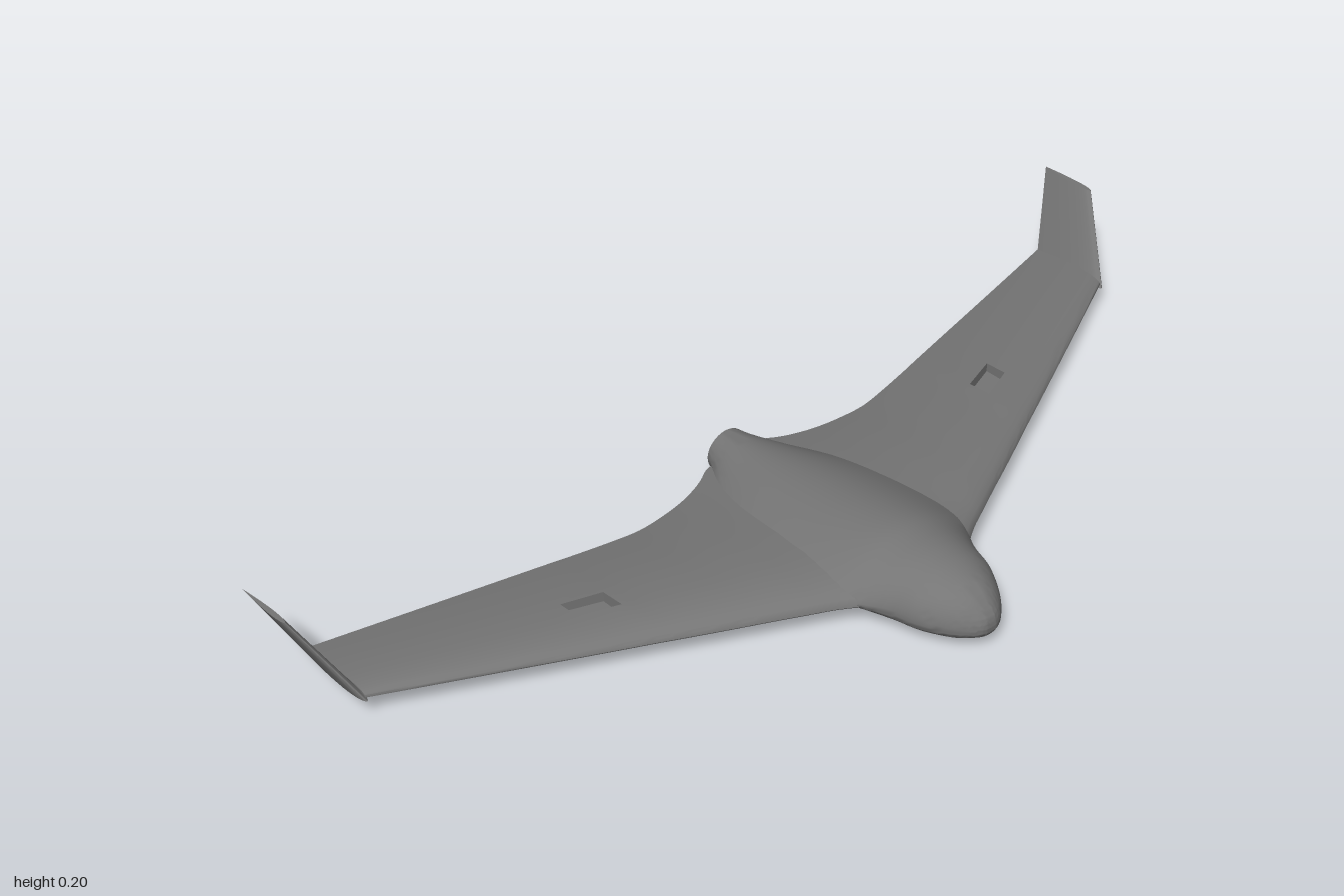
import * as THREE from 'three';
import { toCreasedNormals } from 'three/addons/utils/BufferGeometryUtils.js';

// Smoothly interpolate every column of a table of stations
function smoothRows(rows, steps) {
  const out = [];
  for (let i = 0; i < rows.length - 1; i++) {
    const a = rows[Math.max(i - 1, 0)], b = rows[i], c = rows[i + 1], d = rows[Math.min(i + 2, rows.length - 1)];
    for (let s = 0; s < steps; s++) {
      const t = s / steps;
      out.push(b.map((_, k) => b[k] + 0.5 * t * (c[k] - a[k]
        + t * (2 * a[k] - 5 * b[k] + 4 * c[k] - d[k] + t * (3 * (b[k] - c[k]) + d[k] - a[k])))));
    }
  }
  out.push(rows[rows.length - 1]);
  return out;
}

// Skin closed rings of [x, y, z] points; rings run counter-clockwise about the loft axis
function loft(rings, { start = true, end = true, skip = () => false, crease = 0.7 } = {}) {
  const n = rings[0].length, pos = rings.flat(2), index = [];
  for (let i = 0; i < rings.length - 1; i++) {
    for (let j = 0; j < n; j++) {
      if (skip(i, j)) continue;
      const a = i * n + j, b = i * n + (j + 1) % n, c = a + n, d = b + n;
      index.push(a, b, c, b, d, c);
    }
  }
  const cap = (ring, base, flip) => {
    const centre = pos.length / 3;
    for (let k = 0; k < 3; k++) pos.push(ring.reduce((sum, p) => sum + p[k], 0) / n);
    for (let j = 0; j < n; j++) {
      const a = base + j, b = base + (j + 1) % n;
      index.push(centre, flip ? b : a, flip ? a : b);
    }
  };
  if (start) cap(rings[0], 0, true);
  if (end) cap(rings[rings.length - 1], (rings.length - 1) * n, false);
  const geo = new THREE.BufferGeometry();
  geo.setAttribute('position', new THREE.Float32BufferAttribute(pos, 3));
  geo.setIndex(index);
  return toCreasedNormals(geo, crease);
}

// Aerofoil thickness along the chord, peak 1
const foil = f => 2 * (1.4845 * Math.sqrt(f) - 0.63 * f - 1.758 * f * f + 1.4215 * f ** 3 - 0.5075 * f ** 4);
const chord = [0, 0.006, 0.02, 0.05, 0.1, 0.17, 0.25, 0.33, 0.5, 0.6, 0.7, 0.8, 0.9, 1];
const hatch = { x0: 0.46, x1: 0.535, f0: 0.33, f1: 0.5 };

// Points on the wing for a station [x, leading z, trailing z, top y]
const wingTop = ([x, le, te, top], f) => [x, 0.057 + (top - 0.057) * foil(f), le + (te - le) * f];
const wingBottom = ([x, le, te], f) => [x, 0.057 - 0.006 * Math.sqrt(Math.max(foil(f), 0)), le + (te - le) * f];

export function createModel() {
  const model = new THREE.Group();
  model.name = 'flyingWing';
  const grey = new THREE.MeshStandardMaterial({ color: 0x757575 });
  grey.name = 'airframe grey';
  const add = (name, geo) => {
    const mesh = new THREE.Mesh(geo, grey);
    mesh.name = name;
    model.add(mesh);
  };

  // Fuselage stations: z, half width, top, bottom, middle y, flare into the wing
  const bodyRows = [
    [-0.29, 0.045, 0.1, 0.015, 0.058, 0],
    [-0.26, 0.06, 0.102, 0.015, 0.058, 0.4],
    [-0.2, 0.1, 0.107, 0.014, 0.06, 1.2],
    [-0.1, 0.15, 0.118, 0.011, 0.064, 1.6],
    [0, 0.18, 0.129, 0.005, 0.066, 1.7],
    [0.1, 0.19, 0.14, 0.001, 0.066, 1.6],
    [0.17, 0.172, 0.145, 0.001, 0.064, 1.1],
    [0.22, 0.14, 0.142, 0.003, 0.06, 0.5],
    [0.27, 0.112, 0.138, 0.006, 0.056, 0.1],
    [0.32, 0.095, 0.128, 0.009, 0.053, 0],
    [0.37, 0.065, 0.108, 0.015, 0.048, 0],
    [0.4, 0.036, 0.082, 0.025, 0.046, 0],
    [0.411, 0.018, 0.066, 0.034, 0.046, 0],
    [0.415, 0, 0.046, 0.046, 0.046, 0],
  ];
  const bodyRing = ([z, w, top, bottom, mid, flare]) => Array.from({ length: 48 }, (_, j) => {
    const a = j / 48 * Math.PI * 2, s = Math.sin(a);
    const h = Math.abs(s) ** (1 + Math.max(flare, 0));
    return [w * Math.cos(a), mid + (s > 0 ? (top - mid) * h : (bottom - mid) * h), z];
  });
  // The skin starts deep inside the tail bore, then folds over the rim
  const bore = z => bodyRing([z, 0.028, 0.086, 0.03, 0.058, 0]);
  add('fuselage', loft([bore(-0.2), bore(-0.29), ...smoothRows(bodyRows, 5).map(bodyRing)], { end: false }));

  // Wing stations: x, leading edge z, trailing edge z, top y
  const half = smoothRows([
    [0, 0.28, -0.26, 0.095], [0.06, 0.28, -0.268, 0.095], [0.1, 0.26, -0.248, 0.095],
    [0.13, 0.228, -0.235, 0.094], [0.17, 0.2, -0.223, 0.093], [0.22, 0.174, -0.215, 0.092],
    [0.28, 0.143, -0.212, 0.09], [0.34, 0.113, -0.222, 0.088], [0.42, 0.072, -0.24, 0.085],
    [hatch.x0, 0.051, -0.25, 0.084], [hatch.x1, 0.013, -0.268, 0.081],
    [0.72, -0.082, -0.312, 0.075], [0.92, -0.185, -0.36, 0.069],
  ], 4);
  const mirrored = half.slice(1).reverse().map(([x, ...rest]) => [-x, ...rest]);
  const stations = [...mirrored, ...half];
  const topChord = [...chord].reverse();
  const wingRing = s => [...topChord.map(f => wingTop(s, f)), ...chord.slice(1).map(f => wingBottom(s, f))];
  const inHatch = (i, j) => {
    const x = Math.abs(stations[i][0] + stations[i + 1][0]) / 2;
    return x > hatch.x0 && x < hatch.x1 && topChord[j] === hatch.f1;
  };
  add('wing', loft(stations.map(wingRing), { skip: inHatch }));

  for (const side of [1, -1]) {
    const label = side > 0 ? 'left' : 'right';
    const orient = ring => {
      const r = ring.map(([x, y, z]) => [x * side, y, z]);
      return side > 0 ? r : r.reverse();
    };

    // Recessed servo bay in the wing top
    const s0 = half.find(s => Math.abs(s[0] - hatch.x0) < 1e-6), s1 = half.find(s => Math.abs(s[0] - hatch.x1) < 1e-6);
    const rim = orient([wingTop(s0, hatch.f0), wingTop(s1, hatch.f0), wingTop(s1, hatch.f1), wingTop(s0, hatch.f1)]);
    const floor = rim.map(([x, , z]) => [x, 0.06, z]);
    add(label + 'ServoBay', loft([rim, floor], { start: false, crease: 0.3 }));

    // Swept winglet leaning outwards
    const wingletRing = (y, le, te, x, thick) => {
      const at = (f, d) => [x + d * thick / 2 * foil(f), y, le + (te - le) * f];
      return orient([...chord.map(f => at(f, 1)), ...topChord.slice(0, -1).map(f => at(f, -1))]);
    };
    add(label + 'Winglet', loft([
      wingletRing(0.05, -0.18, -0.36, 0.92, 0.018),
      wingletRing(0.2, -0.29, -0.415, 0.994, 0.011),
    ]));
  }
  return model;
}
